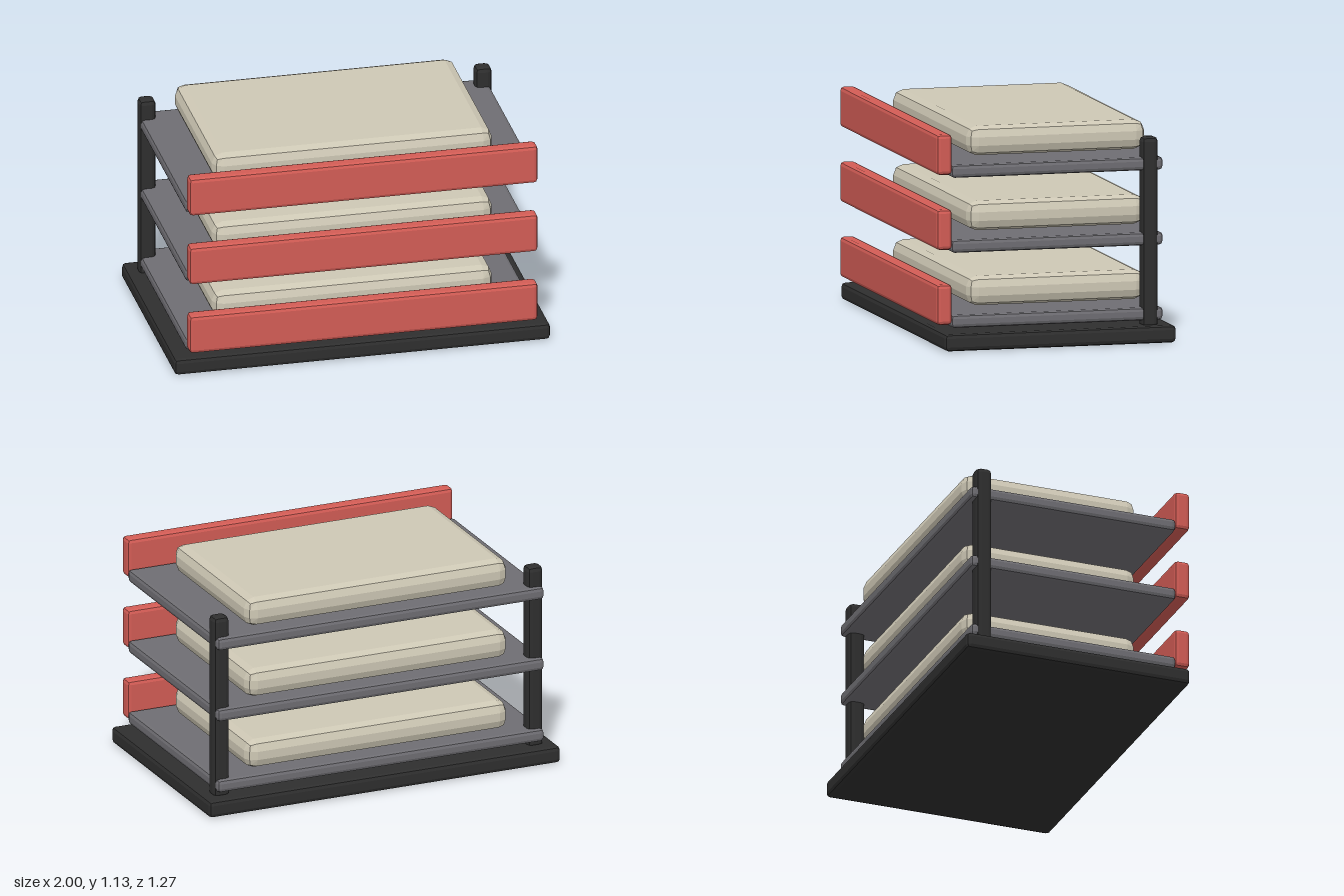
import * as THREE from 'three';
import { RoundedBoxGeometry } from 'three/addons/geometries/RoundedBoxGeometry.js';

function flatMaterial(name, color) {
  const m = new THREE.MeshStandardMaterial({ color, flatShading: true });
  m.name = name;
  return m;
}

export function createModel() {
  const black = flatMaterial('black frame', 0x2e2e2e);
  const grey = flatMaterial('grey shelf', 0x6e6d72);
  const red = flatMaterial('red panel', 0xd25c55);
  const cream = flatMaterial('cream paper', 0xcdc7b4);

  // Soft-edged block given by its extents on each axis
  function block(name, material, [x0, x1], [y0, y1], [z0, z1], radius) {
    const geometry = new RoundedBoxGeometry(x1 - x0, y1 - y0, z1 - z0, 1, radius);
    const mesh = new THREE.Mesh(geometry, material);
    mesh.name = name;
    mesh.position.set((x0 + x1) / 2, (y0 + y1) / 2, (z0 + z1) / 2);
    return mesh;
  }

  const model = new THREE.Group();
  model.name = 'trayRack';

  // Base slab and the two rear posts
  model.add(block('base', black, [-1, 1], [0, 0.09], [-0.636, 0.61], 0.022));
  model.add(block('leftPost', black, [0.85, 0.938], [0.07, 1.073], [-0.557, -0.47], 0.025));
  model.add(block('rightPost', black, [-0.938, -0.85], [0.07, 1.073], [-0.557, -0.47], 0.025));

  // Three identical trays: shelf, front panel and paper stack
  for (let i = 0; i < 3; i++) {
    const tray = new THREE.Group();
    tray.name = `tray${i + 1}`;
    tray.position.y = i * 0.393;
    tray.add(block('shelf', grey, [-0.93, 0.93], [0.112, 0.18], [-0.584, 0.557], 0.02));
    tray.add(block('frontPanel', red, [-0.927, 0.927], [0.129, 0.341], [0.552, 0.636], 0.02));
    tray.add(block('paperStack', cream, [-0.747, 0.743], [0.193, 0.348], [-0.547, 0.412], 0.055));
    model.add(tray);
  }
  return model;
}
